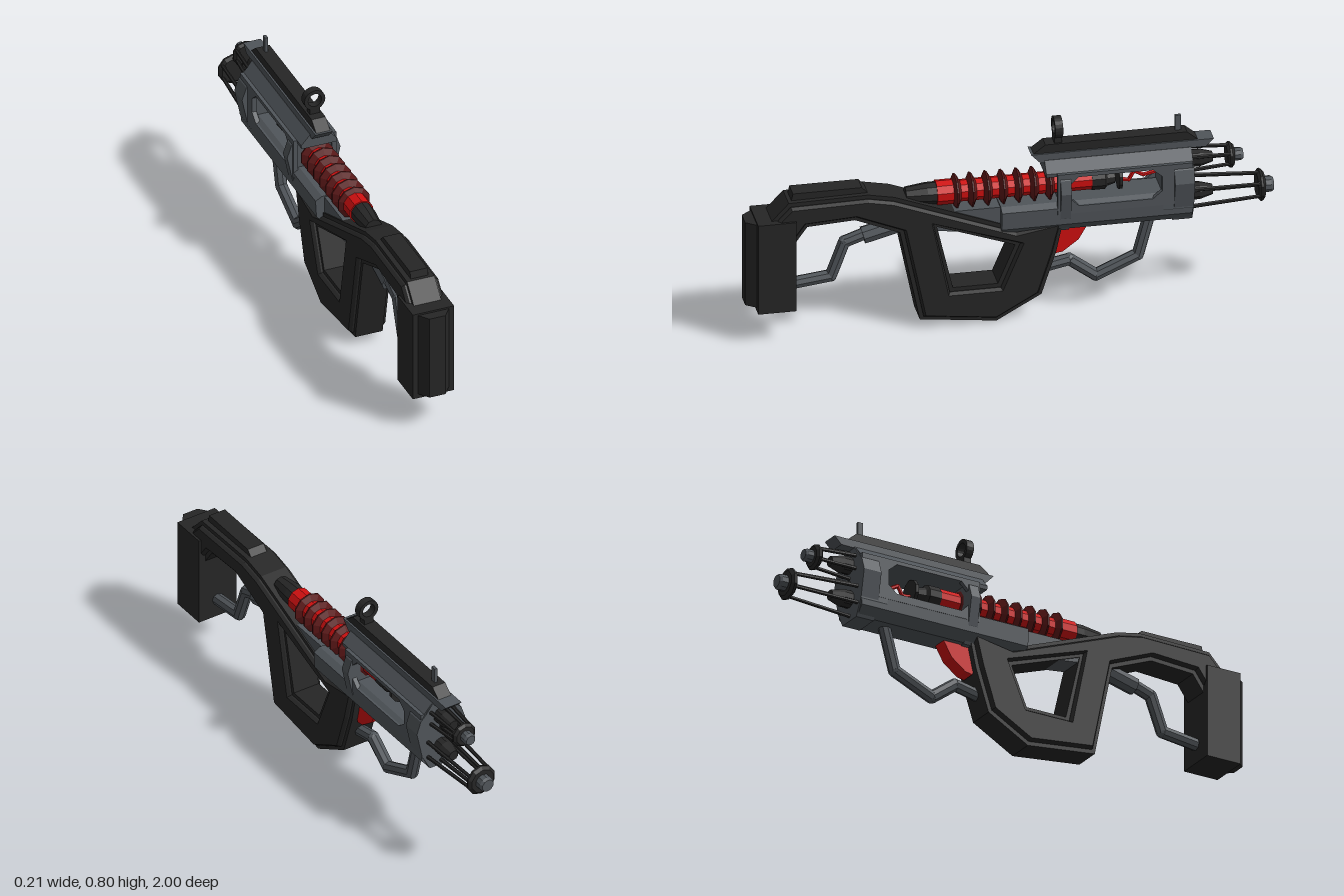
import * as THREE from 'three';

export function createModel() {
  const group = new THREE.Group();
  const mat = (name, hex) => {
    const m = new THREE.MeshStandardMaterial({ color: hex, flatShading: true });
    m.name = name;
    return m;
  };
  const black = mat('black polymer', 0x262626);
  const grey = mat('gunmetal grey', 0x50555a);
  const red = mat('red', 0xd01010);
  const darkRed = mat('dark red', 0x5c1818);

  const add = (name, geo, material, x = 0, y = 0, z = 0) => {
    const m = new THREE.Mesh(geo, material);
    m.name = name;
    m.position.set(x, y, z);
    group.add(m);
    return m;
  };
  const vecs = pts => pts.map(p => new THREE.Vector2(p[0], p[1]));

  // Extrude a side profile of (z, y) points across x, centred on x = 0
  const side = (pts, holes, width, bevel = null) => {
    const shape = new THREE.Shape(vecs(pts));
    holes.forEach(h => shape.holes.push(new THREE.Path(vecs(h))));
    const t = bevel ? bevel.bevelThickness : 0;
    const depth = width - 2 * t;
    const g = new THREE.ExtrudeGeometry(shape, { depth, bevelEnabled: !!bevel, bevelSegments: 1, ...bevel });
    g.translate(0, 0, -depth / 2);
    return g.rotateY(-Math.PI / 2);
  };
  // Extrude a mirrored half section of (x, y) points from z0 to z1
  const section = (half, z0, z1) => {
    const pts = [...half, ...half.map(([x, y]) => [-x, y]).reverse()];
    const g = new THREE.ExtrudeGeometry(new THREE.Shape(vecs(pts)), { depth: z1 - z0, bevelEnabled: false });
    return g.translate(0, 0, z0);
  };
  // Lathe of [radius, z] points about the z axis, listed from back (-z) to front
  const turned = (pts, sides = 10) =>
    new THREE.LatheGeometry(vecs(pts), sides).rotateX(Math.PI / 2);
  // Straight rod between two points
  const rod = (name, a, b, r0, r1, material, sides = 8) => {
    const A = new THREE.Vector3(...a), B = new THREE.Vector3(...b);
    const d = B.clone().sub(A);
    const m = add(name, new THREE.CylinderGeometry(r1, r0, d.length(), sides), material);
    m.position.copy(A).add(B).multiplyScalar(0.5);
    m.quaternion.setFromUnitVectors(new THREE.Vector3(0, 1, 0), d.normalize());
  };
  // Bent pipe made of straight rods with rounded elbows
  const pipe = (name, pts, r, material, sides = 8) => {
    pts.slice(1).forEach((p, i) => {
      rod(name, [0, pts[i][1], pts[i][0]], [0, p[1], p[0]], r, r, material, sides);
      if (i < pts.length - 2) add(name + 'Elbow', new THREE.SphereGeometry(r, sides, 6), material, 0, p[1], p[0]);
    });
  };

  // Stock and grip loop: core slab plus inset raised panels
  const stock = [[0.92, 0.40], [0.92, 0.49], [0.84, 0.575], [0.54, 0.58], [0.44, 0.56], [-0.02, 0.385],
    [-0.2, 0.41], [-0.17, 0.27], [-0.115, 0.1], [0.055, 0.005], [0.345, 0.04], [0.42, 0.41],
    [0.59, 0.48], [0.77, 0.47], [0.82, 0.40]];
  const gripHole = [[0.28, 0.42], [0.22, 0.16], [0.05, 0.16], [-0.015, 0.315]];
  add('stockCore', side(stock, [gripHole], 0.11), black);
  add('stockPanels', side(stock, [gripHole], 0.148,
    { bevelThickness: 0.012, bevelSize: 0.008, bevelOffset: -0.024 }), black);
  add('cheekRest', side([[0.83, 0.56], [0.82, 0.603], [0.56, 0.603], [0.52, 0.56]], [], 0.07), black);

  // Butt block and tapered pad
  add('butt', new THREE.BoxGeometry(0.166, 0.37, 0.145), black, 0, 0.322, 0.888);
  const pad = new THREE.Shape(vecs([[-0.062, 0], [0.062, 0], [0.032, 0.04], [-0.032, 0.04]]));
  const padGeo = new THREE.ExtrudeGeometry(pad, { depth: 0.345, bevelEnabled: false });
  add('buttPad', padGeo.rotateX(Math.PI / 2), black, 0, 0.5, 0.96);

  // Pipe brace under the stock
  pipe('stockBrace', [[0.84, 0.21], [0.67, 0.23], [0.62, 0.365], [0.52, 0.4]], 0.024, grey);
  rod('braceSleeve', [0, 0.385, 0.55], [0, 0.435, 0.36], 0.034, 0.034, grey);

  // Receiver: lower trough, rear rail and upper cover
  add('lowerBody', section([[0.05, 0.36], [0.082, 0.395], [0.086, 0.465], [0.06, 0.48]], -0.68, 0.04), grey);
  add('rearRail', side([[0.04, 0.37], [0.04, 0.475], [0.2, 0.475], [0.4, 0.44], [0.36, 0.41]], [], 0.1), grey);
  add('upperCover', section([[0.07, 0.59], [0.072, 0.605], [0.036, 0.645]], -0.68, -0.13), grey);
  add('topBar', side([[-0.08, 0.672], [-0.115, 0.635], [-0.74, 0.642], [-0.77, 0.672]], [], 0.07), grey);

  // Windowed side walls
  const wall = [[-0.17, 0.44], [-0.17, 0.605], [-0.68, 0.605], [-0.68, 0.44]];
  const opening = [[-0.22, 0.5], [-0.22, 0.56], [-0.25, 0.59], [-0.53, 0.59], [-0.565, 0.56],
    [-0.565, 0.5], [-0.53, 0.47], [-0.25, 0.47]];
  for (const s of [-1, 1]) add('sideWall', side(wall, [opening], 0.018), grey, s * 0.077, 0, 0);

  // Front block and the two wide collars
  const inner = [[0.05, 0.36], [0.085, 0.42], [0.086, 0.57], [0.065, 0.605], [0.036, 0.645]];
  add('frontBlock', section(inner, -0.685, -0.57), grey);
  const collar = [[0.05, 0.355], [0.084, 0.42], [0.107, 0.53], [0.09, 0.58], [0.065, 0.605], [0.036, 0.645]];
  add('frontCollar', section(collar, -0.685, -0.61), grey);
  add('rearCollar', section(collar, -0.22, -0.18), grey);

  // Black top rail, ring sight and post sight
  add('topRail', side([[-0.09, 0.672], [-0.135, 0.706], [-0.67, 0.706], [-0.71, 0.672]], [], 0.056), black);
  const ring = new THREE.Shape().absarc(0, 0, 0.042, 0, Math.PI * 2);
  ring.holes.push(new THREE.Path().absarc(0, 0, 0.027, 0, Math.PI * 2, true));
  add('ringSight', new THREE.ExtrudeGeometry(ring, { depth: 0.03, bevelEnabled: false, curveSegments: 10 }),
    black, 0, 0.764, -0.2);
  add('ringSightBase', new THREE.BoxGeometry(0.04, 0.026, 0.03), black, 0, 0.715, -0.185);
  add('postSight', new THREE.BoxGeometry(0.012, 0.07, 0.022), grey, 0, 0.732, -0.64);

  // Red coil barrel with fins and black end caps
  const axis = 0.535;
  add('coilBarrel', turned([[0, -0.31], [0.042, -0.31], [0.042, 0.2], [0.048, 0.21], [0.048, 0.275], [0, 0.275]]),
    red, 0, axis, 0);
  for (let i = 0; i < 8; i++) {
    add('coilFin', turned([[0.04, -0.017], [0.066, -0.003], [0.066, 0.003], [0.04, 0.017]]),
      darkRed, 0, axis, 0.2 - i * 0.0585);
  }
  add('rearCap', turned([[0, 0.27], [0.043, 0.27], [0.043, 0.31], [0.033, 0.39], [0, 0.39]]), black, 0, axis, 0);
  add('innerCap', turned([[0, -0.4], [0.026, -0.4], [0.034, -0.37], [0.045, -0.36], [0.045, -0.31], [0, -0.31]]),
    black, 0, axis, 0);
  add('emitterPlate', turned([[0, -0.425], [0.05, -0.425], [0.05, -0.412], [0, -0.412]]), black, 0, axis, 0);
  pipe('redWire', [[-0.42, 0.52], [-0.455, 0.515], [-0.475, 0.55], [-0.51, 0.53], [-0.58, 0.545]], 0.008, red, 6);

  // Caged muzzles: converging rods, disc, hub and stub barrel
  const muzzle = (name, y, tip, rBase, rDisc) => {
    const zDisc = tip + 0.045;
    for (let i = 0; i < 6; i++) {
      const a = i * Math.PI / 3 + Math.PI / 6;
      const c = Math.cos(a), s = Math.sin(a);
      rod(name + 'Rod', [c * rBase, y + s * rBase, -0.67],
        [c * rDisc * 0.8, y + s * rDisc * 0.8, zDisc], 0.008, 0.007, black, 6);
    }
    add(name + 'Disc', turned([[0, -0.01], [rDisc * 0.8, -0.01], [rDisc, 0], [rDisc, 0.008],
      [rDisc * 0.8, 0.018], [0, 0.018]]), black, 0, y, zDisc);
    add(name + 'Hub', turned([[0, tip], [rDisc * 0.4, tip], [rDisc * 0.5, tip + 0.01],
      [rDisc * 0.5, zDisc], [0, zDisc]]), grey, 0, y, 0);
    add(name + 'Stub', turned([[0, -0.77], [0.02, -0.77], [0.034, -0.72], [0.034, -0.67], [0, -0.67]]),
      black, 0, y, 0);
  };
  muzzle('upperMuzzle', 0.58, -0.885, 0.053, 0.05);
  muzzle('lowerMuzzle', 0.443, -1.0, 0.068, 0.062);

  // Red trigger and its grey guard
  add('trigger', side([[-0.12, 0.4], [-0.17, 0.25], [-0.2, 0.255], [-0.26, 0.3], [-0.3, 0.37]], [], 0.06), red);
  pipe('triggerGuard', [[-0.13, 0.185], [-0.23, 0.205], [-0.33, 0.13], [-0.49, 0.2], [-0.535, 0.37]], 0.024, grey);

  return group;
}
